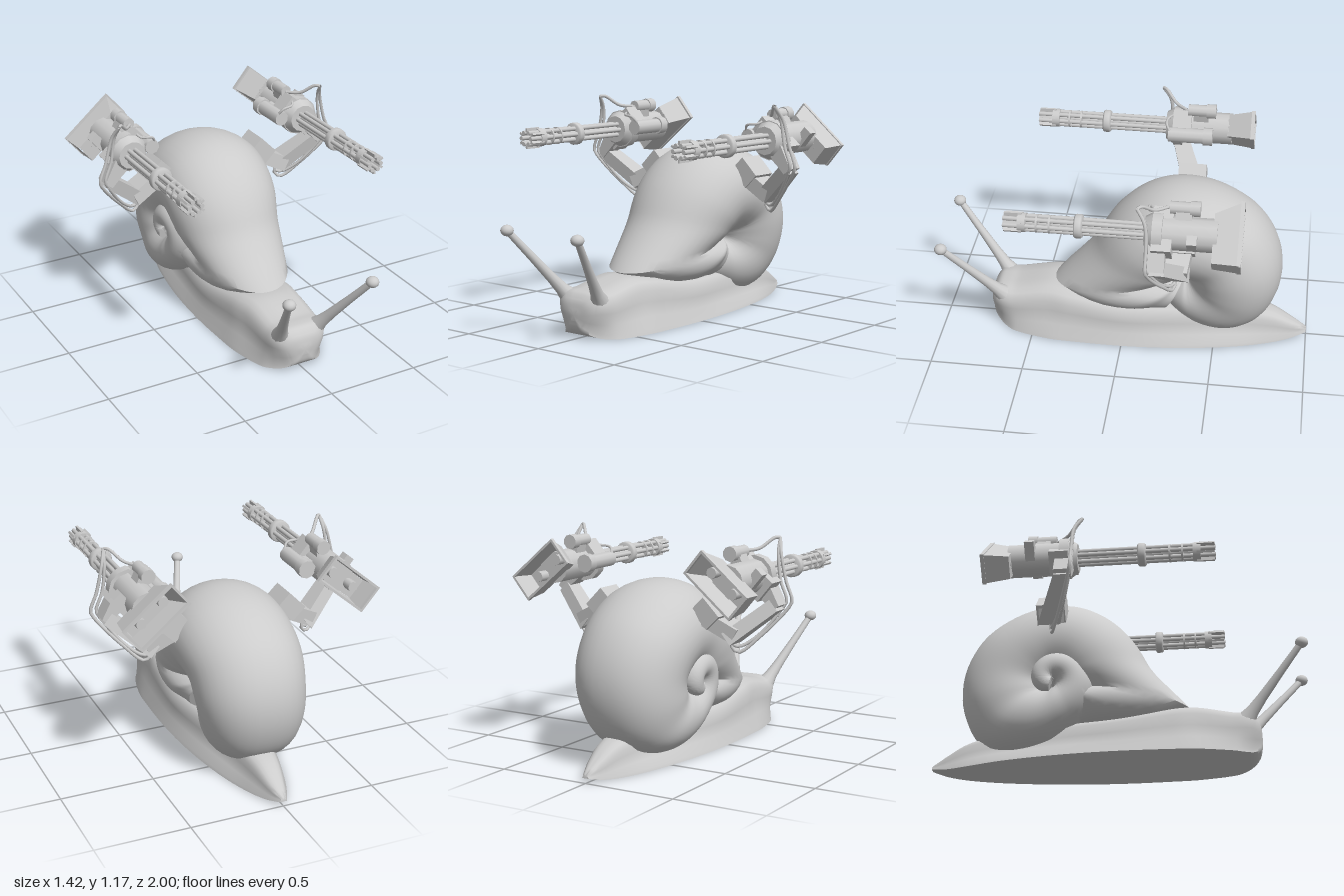
import * as THREE from 'three';
import { toCreasedNormals } from 'three/addons/utils/BufferGeometryUtils.js';

const mat = new THREE.MeshStandardMaterial({ color: 0xcccccc, side: THREE.DoubleSide });

function add(parent, name, geo, x = 0, y = 0, z = 0) {
  const m = new THREE.Mesh(geo, mat);
  m.name = name;
  m.position.set(x, y, z);
  parent.add(m);
  return m;
}

// smooth interpolation of table rows; first column is the key
function sample(rows, t) {
  let i = 0;
  while (i < rows.length - 2 && t > rows[i + 1][0]) i++;
  const a = rows[i], b = rows[i + 1], p = rows[Math.max(i - 1, 0)], n = rows[Math.min(i + 2, rows.length - 1)];
  const d = b[0] - a[0], u = (t - a[0]) / d, u2 = u * u, u3 = u2 * u;
  return a.map((v, k) => {
    const m0 = (b[k] - p[k]) / (b[0] - p[0]) * d, m1 = (n[k] - v) / (n[0] - a[0]) * d;
    return (2 * u3 - 3 * u2 + 1) * v + (u3 - 2 * u2 + u) * m0 + (3 * u2 - 2 * u3) * b[k] + (u3 - u2) * m1;
  });
}

// skin over closed rings with fan caps, turned outward by its signed volume
function loft(rings, crease = 0.8) {
  const n = rings[0].length, pts = rings.flat(), idx = [];
  for (let i = 0; i < rings.length - 1; i++)
    for (let j = 0; j < n; j++) {
      const a = i * n + j, b = i * n + (j + 1) % n;
      idx.push(a, b, a + n, b, b + n, a + n);
    }
  for (const [r, end] of [[0, 0], [rings.length - 1, 1]]) {
    const c = pts.length;
    pts.push(rings[r].reduce((s, p) => s.add(p), new THREE.Vector3()).divideScalar(n));
    for (let j = 0; j < n; j++) {
      const a = r * n + j, b = r * n + (j + 1) % n;
      if (end) idx.push(a, b, c); else idx.push(b, a, c);
    }
  }
  let vol = 0;
  for (let i = 0; i < idx.length; i += 3)
    vol += pts[idx[i]].dot(new THREE.Vector3().crossVectors(pts[idx[i + 1]], pts[idx[i + 2]]));
  if (vol < 0) idx.reverse();
  const g = new THREE.BufferGeometry().setFromPoints(pts);
  g.setIndex(idx);
  return toCreasedNormals(g, crease);
}

function bodyGeometry() {
  // z, base half width, shoulder half width, top half width, bottom y, top y
  const rows = [
    [-1, 0.02, 0.014, 0.008, 0.03, 0.05], [-0.92, 0.06, 0.045, 0.02, 0.012, 0.1],
    [-0.8, 0.11, 0.075, 0.035, 0.005, 0.165], [-0.6, 0.17, 0.11, 0.06, 0.005, 0.2],
    [-0.3, 0.22, 0.165, 0.1, 0.005, 0.22], [0, 0.24, 0.2, 0.13, 0.005, 0.23],
    [0.3, 0.235, 0.19, 0.13, 0.005, 0.275], [0.42, 0.225, 0.175, 0.11, 0.005, 0.283],
    [0.6, 0.18, 0.165, 0.11, 0.005, 0.248], [0.66, 0.14, 0.157, 0.105, 0.01, 0.247],
    [0.7, 0.1, 0.138, 0.09, 0.022, 0.24], [0.725, 0.07, 0.11, 0.07, 0.042, 0.215],
    [0.738, 0.045, 0.078, 0.05, 0.065, 0.19], [0.745, 0.02, 0.035, 0.02, 0.1, 0.155]];
  const rings = [];
  for (let i = 0; i <= 80; i++) {
    // rings gather towards the nose
    const [z, bw, sw, tw, y0, y1] = sample(rows, -1 + 1.745 * Math.sin(i / 80 * Math.PI / 2)), h = y1 - y0;
    const half = [[bw * 0.5, 0], [bw, 0], [bw * 0.97, 0.08], [(bw + sw) * 0.48, 0.3], [sw * 0.96, 0.55],
      [sw, 0.77], [(sw + tw) / 2, 0.92], [tw, 0.985], [tw * 0.4, 1]];
    const all = [...half, ...half.map(([x, y]) => [-x, y]).reverse()];
    rings.push(all.map(([x, y]) => new THREE.Vector3(x, y0 + h * y, z)));
  }
  return loft(rings, 1.1);
}

function shellGeometry() {
  // angle from the front over the top, outer radius, sideways shift, half width, squareness exponent
  const rows = [
    [-62, 0.25, 0, 0.2, 0.6], [-46, 0.3, 0, 0.215, 0.55], [-31, 0.41, 0, 0.245, 0.5], [-20, 0.56, 0, 0.25, 0.6],
    [-14, 0.66, 0, 0.245, 0.8], [-10, 0.73, 0, 0.235, 1], [-6, 0.675, 0, 0.245, 1], [0, 0.605, 0, 0.26, 1],
    [9, 0.538, 0, 0.275, 1], [18, 0.508, 0, 0.285, 1], [41, 0.502, 0.005, 0.305, 1], [75, 0.513, 0.01, 0.315, 1],
    [98, 0.508, 0.01, 0.315, 1], [122, 0.508, 0.005, 0.31, 1], [144, 0.518, 0, 0.3, 0.95], [171, 0.52, 0, 0.29, 0.9],
    [194, 0.508, -0.01, 0.28, 0.85], [212, 0.49, -0.02, 0.265, 0.8], [230, 0.445, -0.035, 0.26, 0.75],
    [256, 0.345, -0.05, 0.245, 0.7], [275, 0.285, -0.06, 0.235, 0.75], [300, 0.25, -0.08, 0.21, 0.9],
    [360, 0.22, -0.14, 0.15, 1], [430, 0.17, -0.19, 0.11, 1], [520, 0.12, -0.23, 0.07, 1], [620, 0.07, -0.26, 0.03, 1]];
  const rings = [];
  for (let deg = -62; deg <= 618; deg += 4) {
    const [, ro, cx, hw, sq] = sample(rows, deg), a = deg * Math.PI / 180;
    rings.push(Array.from({ length: 36 }, (_, j) => {
      const t = j / 36 * Math.PI * 2, s = Math.sin(t), r = -0.006 + (ro + 0.006) * (0.5 + 0.5 * Math.cos(t));
      // only the outer half of each section is squared off
      const w = Math.cos(t) > 0 ? Math.sign(s) * Math.abs(s) ** sq : s;
      return new THREE.Vector3(cx + hw * w, 0.42 + r * Math.sin(a), -0.33 + r * Math.cos(a));
    }));
  }
  return loft(rings, 1);
}

const rod = (r, z0, z1, sides = 16, r2 = r) =>
  new THREE.CylinderGeometry(r2, r, z1 - z0, sides).rotateX(Math.PI / 2).translate(0, 0, (z0 + z1) / 2);

const cable = (pts, r = 0.009) => new THREE.TubeGeometry(
  new THREE.CatmullRomCurve3(pts.map(p => new THREE.Vector3(...p))), 32, r, 6);

// tapering box between two points in the xy plane
function strut(parent, name, a, b, wa, wb, z0, z1, z2 = z0, z3 = z1) {
  const d = new THREE.Vector2(b[0] - a[0], b[1] - a[1]).normalize();
  const ring = (p, w, lo, hi) => [[-1, lo], [1, lo], [1, hi], [-1, hi]].map(([s, z]) =>
    new THREE.Vector3(p[0] - d.y * s * w / 2, p[1] + d.x * s * w / 2, z));
  return add(parent, name, loft([ring(a, wa, z0, z1), ring(b, wb, z2, z3)]));
}

function buildGun() {
  const side = new THREE.Group();
  // mount and arm
  add(side, 'shellMount', new THREE.BoxGeometry(0.1, 0.13, 0.15), 0.32, 0.785, -0.325).rotation.z = 0.78;
  strut(side, 'lowerArm', [0.3, 0.76], [0.47, 0.675], 0.08, 0.08, -0.39, -0.27, -0.37, -0.24);
  strut(side, 'upperArm', [0.43, 0.66], [0.64, 0.835], 0.075, 0.07, -0.38, -0.26, -0.27, -0.18);
  strut(side, 'armWrist', [0.65, 0.82], [0.57, 0.93], 0.05, 0.09, -0.27, -0.18);
  // cables
  for (const o of [0, 0.03])
    add(side, 'armCable', cable([[0.605, 1.16, -0.13], [0.63 - o / 2, 1.09, -0.17], [0.665 - o, 0.95, -0.18],
      [0.7 - o, 0.85, -0.18], [0.68 - o, 0.81, -0.19], [0.56 - o / 2, 0.67, -0.25], [0.46, 0.585 + o, -0.3],
      [0.425, 0.62 + o / 2, -0.31], [0.46, 0.68, -0.31]]));
  add(side, 'topCable', cable([[0.48, 1.1, -0.27], [0.53, 1.11, -0.21], [0.585, 1.16, -0.15], [0.605, 1.16, -0.13]]));
  add(side, 'innerCable', cable([[0.37, 1.0, -0.2], [0.4, 1.05, -0.17], [0.46, 1.06, -0.18], [0.48, 1.1, -0.28]], 0.007));

  const gun = new THREE.Group();
  gun.name = 'gun';
  gun.position.set(0.52, 0.975, 0);
  side.add(gun);
  // rotary barrels
  for (let i = 0; i < 6; i++) {
    const a = i * Math.PI / 3;
    add(gun, 'barrel', rod(0.012, -0.2, 0.55, 8), 0.034 * Math.cos(a), 0.034 * Math.sin(a));
    add(gun, 'muzzleFin', new THREE.BoxGeometry(0.012, 0.02, 0.09), 0.045 * Math.cos(a + 0.52), 0.045 * Math.sin(a + 0.52), 0.5)
      .rotation.z = a + 0.52 + Math.PI / 2;
  }
  add(gun, 'barrelCore', rod(0.018, -0.2, 0.5, 8));
  add(gun, 'muzzleClamp', rod(0.05, 0.435, 0.475));
  for (const z of [0.31, 0.375]) add(gun, 'barrelRing', rod(0.047, z, z + 0.01));
  add(gun, 'collar', new THREE.LatheGeometry([[0.03, 0.148], [0.055, 0.15], [0.061, 0.158], [0.061, 0.184],
    [0.055, 0.192], [0.03, 0.194]].map(p => new THREE.Vector2(...p)), 20).rotateX(Math.PI / 2));
  // housing
  add(gun, 'frontHousing', rod(0.1, -0.2, -0.16, 12, 0.075));
  add(gun, 'housingRing', rod(0.105, -0.25, -0.2, 12));
  add(gun, 'receiver', rod(0.085, -0.52, -0.25, 12));
  add(gun, 'receiverBlock', new THREE.BoxGeometry(0.23, 0.13, 0.1), 0, 0, -0.25).rotation.z = -0.7;
  add(gun, 'sideBracket', new THREE.BoxGeometry(0.05, 0.1, 0.05), 0.09, 0.01, -0.4).rotation.z = -0.7;
  // drive motors
  for (const [x, y, z0, z1, r] of [[-0.125, 0.015, -0.42, -0.18, 0.04], [-0.04, 0.125, -0.43, -0.28, 0.032]]) {
    add(gun, 'motor', rod(r, z0, z1, 10), x, y);
    add(gun, 'motorCap', rod(r * 1.2, z0, z0 + 0.05, 10), x, y);
    strut(gun, 'motorBracket', [x, y], [x * 0.4, y * 0.4], 0.05, 0.07, z0 + 0.04, z0 + 0.12);
  }

  // open rear tray, its inner end flaring backwards
  const tray = new THREE.Group();
  tray.name = 'rearTray';
  tray.rotation.z = -0.7;
  gun.add(tray);
  const walls = new THREE.CylinderGeometry(1.1, Math.SQRT2, 0.14, 4, 1, true)
    .rotateY(Math.PI / 4).rotateX(Math.PI / 2).scale(0.163, 0.075, 1).translate(0, 0, 0.07)
    .applyMatrix4(new THREE.Matrix4().makeShear(0, 0, 0, 0, 0.2, 0));
  add(tray, 'trayWalls', toCreasedNormals(walls, 0.3), 0, 0, -0.64);
  add(tray, 'trayFloor', new THREE.BoxGeometry(0.25, 0.115, 0.012), 0.025, 0, -0.507);
  for (const s of [-1, 1]) {
    add(tray, 'trayRoller', rod(0.028, -0.58, -0.5, 8), s * 0.075, 0);
    add(tray, 'trayRimLong', new THREE.BoxGeometry(0.33, 0.012, 0.02), 0, s * 0.072, -0.635);
    add(tray, 'trayRimShort', new THREE.BoxGeometry(0.012, 0.145, 0.02), s * 0.16, 0, -0.635);
  }
  return side;
}

export function createModel() {
  const model = new THREE.Group();
  add(model, 'body', bodyGeometry());
  add(model, 'shell', shellGeometry());

  for (const s of [-1, 1]) {
    // eye stalk with a flared foot and an eye ball
    const base = new THREE.Vector3(s * 0.105, 0.2, 0.665), tip = new THREE.Vector3(s * 0.24, 0.565, 0.968);
    const dir = tip.clone().sub(base), len = dir.length();
    const profile = [[0.05, 0], [0.034, 0.06], [0.027, 0.14], [0.021, 0.3], [0.017, len]].map(p => new THREE.Vector2(...p));
    const stalk = add(model, 'eyeStalk', new THREE.LatheGeometry(profile, 12), base.x, base.y, base.z);
    stalk.quaternion.setFromUnitVectors(new THREE.Vector3(0, 1, 0), dir.normalize());
    add(model, 'eye', new THREE.SphereGeometry(0.034, 16, 12), tip.x, tip.y, tip.z).scale.y = 0.85;

    const gun = buildGun();
    gun.name = s > 0 ? 'leftGun' : 'rightGun';
    gun.scale.x = s;
    model.add(gun);
  }
  return model;
}
